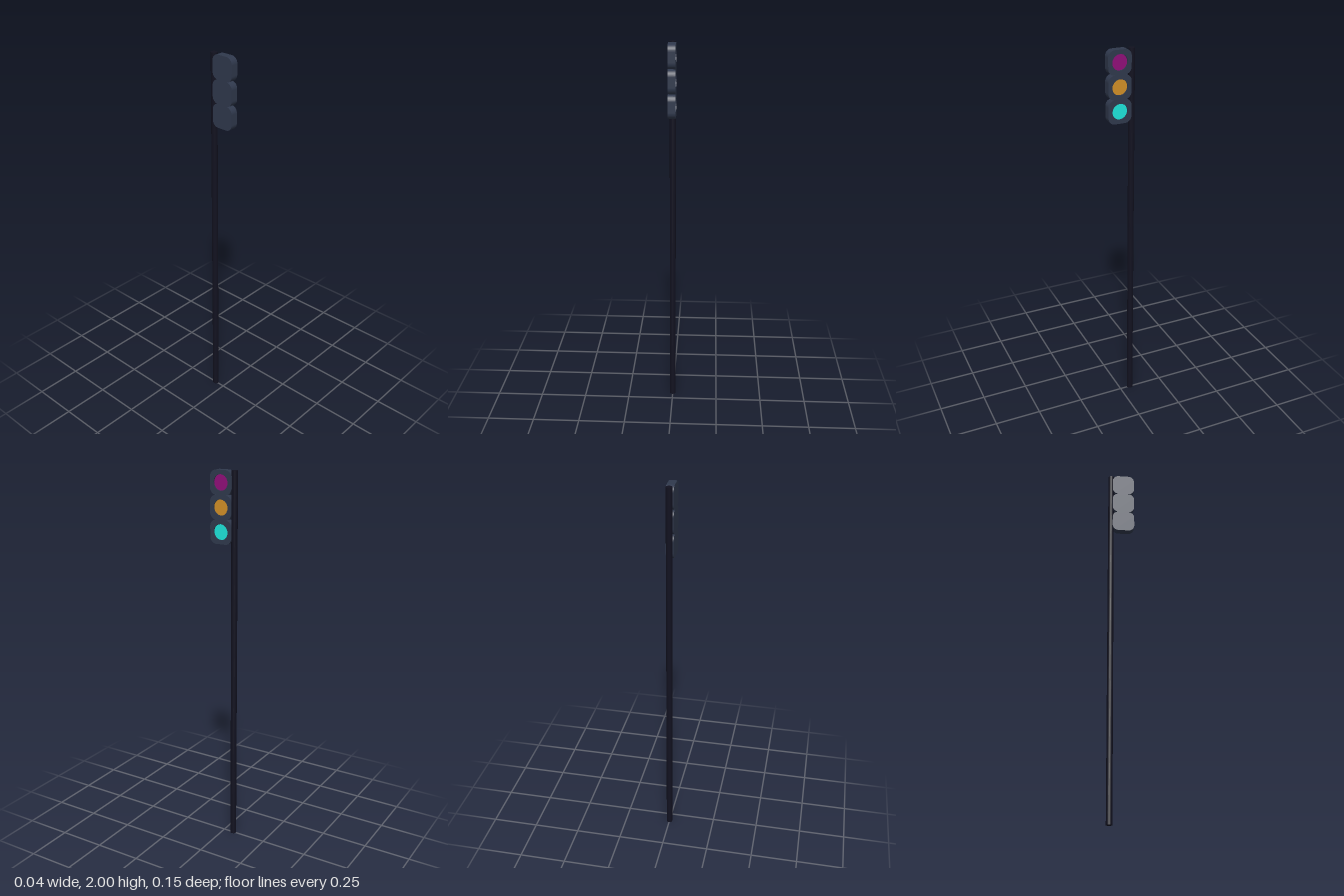
import * as THREE from 'three';

const mat = (color) => new THREE.MeshStandardMaterial({ color });

// Rounded square outline centred on the origin
function roundedSquare(size, r) {
  const h = size / 2, s = new THREE.Shape();
  s.absarc(h - r, h - r, r, 0, Math.PI / 2);
  s.absarc(-h + r, h - r, r, Math.PI / 2, Math.PI);
  s.absarc(-h + r, -h + r, r, Math.PI, Math.PI * 1.5);
  s.absarc(h - r, -h + r, r, Math.PI * 1.5, Math.PI * 2);
  s.closePath();
  return s;
}

// Extrude an outline along +x, from x0 to x1
function slab(shape, x0, x1) {
  const g = new THREE.ExtrudeGeometry(shape, { depth: x1 - x0, bevelEnabled: false, curveSegments: 10 });
  return g.rotateY(Math.PI / 2).translate(x0, 0, 0);
}

export function createModel() {
  const model = new THREE.Group();
  model.name = 'trafficLight';
  const add = (parent, name, geometry, material) => {
    const mesh = new THREE.Mesh(geometry, material);
    mesh.name = name;
    parent.add(mesh);
    return mesh;
  };

  // Pole behind the lamps
  const pole = add(model, 'pole', new THREE.CylinderGeometry(0.016, 0.016, 2, 24), mat(0x11111f));
  pole.position.set(0, 1, -0.058);

  // Three lamp units stacked downwards, facing +x
  const size = 0.1215, lensRadius = 0.04, front = 0.019, recess = 0.009;
  const housing = mat(0x2f384c);
  const body = slab(roundedSquare(size, 0.034), -0.02, recess);
  const rimShape = roundedSquare(size, 0.034);
  rimShape.holes.push(new THREE.Path().absarc(0, 0, lensRadius, 0, Math.PI * 2, true));
  const rim = slab(rimShape, recess, front);
  const lens = new THREE.CylinderGeometry(lensRadius, lensRadius, 0.004, 32).rotateZ(-Math.PI / 2);

  [['top', 0x8f0e78], ['middle', 0xd08e26], ['bottom', 0x1ce4da]].forEach(([name, color], i) => {
    const lamp = new THREE.Group();
    lamp.name = name + 'Lamp';
    lamp.position.set(0, 2 - size * (i + 0.5), 0.011);
    add(lamp, 'lampHousing', body, housing);
    add(lamp, 'lampRim', rim, housing);
    add(lamp, 'lens', lens, mat(color)).position.x = recess + 0.002;
    model.add(lamp);
  });
  return model;
}
